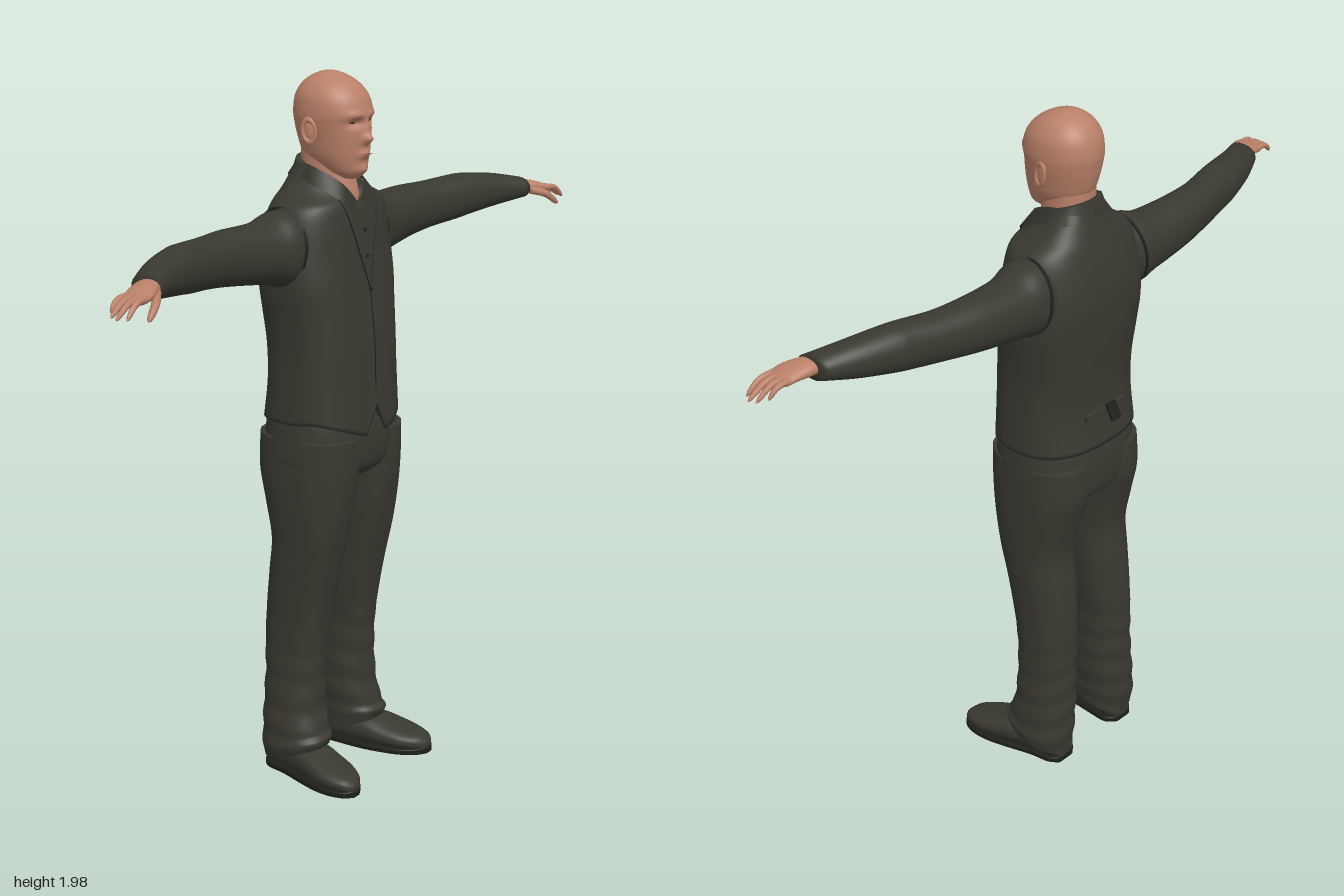
import * as THREE from 'three';

const V = (x, y, z) => new THREE.Vector3(x, y, z);
const { smoothstep, lerp } = THREE.MathUtils;
const spow = (v, e) => Math.sign(v) * Math.abs(v) ** e;
const gauss = (d, s) => Math.exp(-((d / s) ** 2));
const mat = (name, color, side = THREE.FrontSide) => {
  const m = new THREE.MeshStandardMaterial({ color, side });
  m.name = name;
  return m;
};

// Smooth interpolation between cross-section rows [t, a0, a1, b0, b1]
function section(rows, u) {
  const i = Math.min(Math.floor(u), rows.length - 2), f = u - i;
  const at = (k) => rows[Math.max(0, Math.min(rows.length - 1, k))];
  return rows[0].map((_, c) => {
    const [p0, p1, p2, p3] = [at(i - 1)[c], at(i)[c], at(i + 1)[c], at(i + 2)[c]];
    return p1 + 0.5 * f * (p2 - p0 + f * (2 * p0 - 5 * p1 + 4 * p2 - p3 + f * (3 * (p1 - p2) + p3 - p0)));
  });
}

// Closed loft of superellipse sections along an axis; warp moves the points afterwards
const PLACE = {
  y: (t, a, b) => V(a, t, b),
  x: (t, a, b) => V(t, b, a),
  z: (t, a, b) => V(a, b, t),
};
function loft(rows, { axis = 'y', n = 2.2, segs = 40, sub = 5, side = 1, warp = () => {} } = {}) {
  const pos = [], idx = [], rings = (rows.length - 1) * sub;
  const put = (t, a, b) => {
    const p = PLACE[axis](t, a, b);
    warp(p);
    pos.push(p.x * side, p.y, p.z);
  };
  for (let i = 0; i <= rings; i++) {
    const [t, a0, a1, b0, b1] = section(rows, i / sub);
    for (let j = 0; j < segs; j++) {
      const g = (j / segs) * Math.PI * 2;
      put(t, (a0 + a1) / 2 + (a1 - a0) / 2 * spow(Math.cos(g), 2 / n),
        (b0 + b1) / 2 + (b1 - b0) / 2 * spow(Math.sin(g), 2 / n));
    }
  }
  for (let i = 0; i < rings; i++) for (let j = 0; j < segs; j++) {
    const a = i * segs + j, b = i * segs + (j + 1) % segs;
    idx.push(a, a + segs, b, b, a + segs, b + segs);
  }
  [[rows[0], 0], [rows.at(-1), rings * segs]].forEach(([r, base], end) => {
    put(r[0], (r[1] + r[2]) / 2, (r[3] + r[4]) / 2);
    const c = pos.length / 3 - 1;
    for (let j = 0; j < segs; j++) {
      const a = base + j, b = base + (j + 1) % segs;
      idx.push(...(end ? [a, c, b] : [a, b, c]));
    }
  });
  // Turn the faces outward
  const P = (i) => V(pos[3 * i], pos[3 * i + 1], pos[3 * i + 2]);
  let vol = 0;
  for (let i = 0; i < idx.length; i += 3) vol += P(idx[i]).dot(P(idx[i + 1]).cross(P(idx[i + 2])));
  if (vol < 0) idx.reverse();
  return finish(pos, idx);
}
function finish(pos, idx) {
  const g = new THREE.BufferGeometry();
  g.setAttribute('position', new THREE.Float32BufferAttribute(pos, 3));
  g.setIndex(idx);
  g.computeVertexNormals();
  return g;
}
const sym = (rows) => rows.map(([t, r, b0, b1]) => [t, -r, r, b0, b1]);

// Front z of a vertical loft at x, y
function frontZ(rows, n, x, y) {
  let lo = 0, hi = rows.length - 1;
  for (let k = 0; k < 24; k++) {
    const m = (lo + hi) / 2;
    if (section(rows, m)[0] < y) lo = m; else hi = m;
  }
  const [, , r, b0, b1] = section(rows, lo);
  return (b0 + b1) / 2 + (b1 - b0) / 2 * Math.max(0, 1 - Math.abs(x / r) ** n) ** (1 / n);
}

// Tube that narrows to a rounded tip
function finger(points, r) {
  const N = 14, R = 10, curve = new THREE.CatmullRomCurve3(points);
  const g = new THREE.TubeGeometry(curve, N, r, R), p = g.attributes.position, v = V();
  for (let i = 0; i <= N; i++) for (let j = 0; j <= R; j++) {
    const k = i * (R + 1) + j, t = i / N;
    v.fromBufferAttribute(p, k).lerp(curve.getPointAt(t), 1 - (1 - 0.3 * t) * Math.sqrt(1 - t ** 8));
    p.setXYZ(k, v.x, v.y, v.z);
  }
  g.computeVertexNormals();
  return g;
}
const line = (pts, r, closed = false) =>
  new THREE.TubeGeometry(new THREE.CatmullRomCurve3(pts, closed), 48, r, 6, closed);

const VEST = sym([[1.045, .203, -.17, .137], [1.15, .198, -.157, .131], [1.25, .196, -.16, .128], [1.35, .205, -.17, .118],
  [1.42, .213, -.175, .11], [1.5, .209, -.175, .1], [1.58, .198, -.16, .09], [1.63, .178, -.145, .08],
  [1.665, .128, -.13, .066], [1.7, .095, -.115, .052], [1.73, .08, -.107, .042]]);
const HEAD = sym([[1.695, .02, .02, .07], [1.71, .045, -.02, .083], [1.73, .061, -.06, .089], [1.76, .075, -.095, .093],
  [1.8, .084, -.11, .096], [1.84, .092, -.118, .096], [1.87, .095, -.121, .099], [1.91, .09, -.115, .087],
  [1.94, .073, -.098, .062], [1.96, .05, -.073, .03], [1.972, .022, -.045, .0], [1.975, .004, -.026, -.018]]);
const PELVIS = sym([[.86, .1, -.1, .05], [.885, .17, -.15, .1], [.92, .2, -.164, .125], [.98, .201, -.167, .132],
  [1.04, .196, -.162, .129], [1.1, .185, -.145, .115]]);
const LEG = [[.035, .055, .208, -.138, .055], [.06, .052, .211, -.142, .06], [.12, .05, .208, -.145, .05],
  [.2, .045, .2, -.144, .033], [.3, .045, .19, -.143, .03], [.4, .045, .186, -.145, .036], [.5, .036, .188, -.14, .052],
  [.6, .028, .192, -.13, .072], [.7, .018, .198, -.12, .095], [.8, .007, .203, -.14, .113], [.9, -.002, .203, -.164, .125],
  [1, 0, .198, -.163, .128]];
const ARM = [[.13, -.13, .03, 1.43, 1.62], [.2, -.14, .038, 1.42, 1.622], [.25, -.137, .025, 1.435, 1.607],
  [.3, -.134, .016, 1.443, 1.603], [.4, -.125, .005, 1.457, 1.605], [.5, -.107, .01, 1.47, 1.604],
  [.6, -.085, .03, 1.48, 1.609], [.65, -.075, .04, 1.487, 1.609], [.75, -.04, .065, 1.502, 1.598], [.835, .003, .098, 1.517, 1.58]];
const PALM = [[.8, .025, .08, 1.53, 1.57], [.85, .027, .102, 1.53, 1.571], [.885, .035, .117, 1.529, 1.563],
  [.915, .043, .119, 1.526, 1.552], [.925, .05, .112, 1.532, 1.546]];
const SHOE = [[-.137, .1, .155, .012, .05], [-.11, .075, .175, .012, .09], [-.05, .075, .186, .012, .1], [.03, .08, .21, .012, .095],
  [.09, .092, .225, .012, .078], [.14, .108, .227, .012, .064], [.18, .135, .215, .012, .052], [.2, .165, .193, .012, .035]];

// Face relief: nose, brow, sockets, lips, chin
const face = (x, y) => {
  const ax = Math.abs(x);
  return .02 * gauss(x, .014) * gauss(y - 1.803, .013) + .013 * gauss(x, .011) * gauss(y - 1.828, .026)
    - .012 * gauss(ax - .034, .019) * gauss(y - 1.846, .011) + .005 * gauss(ax - .034, .025) * gauss(y - 1.868, .01)
    + .01 * gauss(x, .024) * gauss(y - 1.762, .012) + .009 * gauss(x, .026) * gauss(y - 1.72, .014);
};
const hem = (ax) => (ax < .045 ? lerp(1.08, 1.0, ax / .045) : lerp(1.0, 1.055, Math.min(1, (ax - .045) / .155)));
const vestWarp = (p) => {
  const low = 1 - smoothstep(p.y, 1.045, 1.13), high = smoothstep(p.y, 1.62, 1.73);
  p.y += low * smoothstep(p.z, 0, .08) * (hem(Math.abs(p.x)) - 1.045);
  p.y -= high * (.35 * (p.z + .05) + .06 * smoothstep(p.z, 0, .03) * Math.max(0, 1 - Math.abs(p.x) / .06));
};

export function createModel() {
  const root = new THREE.Group();
  root.name = 'standingMan';
  const suit = mat('suitCloth', 0x393930), cloth = mat('collarCloth', 0x34342c, THREE.DoubleSide);
  const seam = mat('darkSeam', 0x1e1e19), skin = mat('skin', 0xb98068);
  const eyeMat = mat('eyeShade', 0x4a2f26), lipMat = mat('lips', 0x8f5a4a);
  const add = (name, geo, m, parent = root) => {
    const mesh = new THREE.Mesh(geo, m);
    mesh.name = name;
    parent.add(mesh);
    return mesh;
  };

  // Head and neck
  add('head', loft(HEAD, { n: 2.1, segs: 96, sub: 9, warp: (p) => { p.z += smoothstep(p.z, 0, .05) * face(p.x, p.y); } }), skin);
  add('neck', loft(sym([[1.55, .07, -.09, .06], [1.64, .068, -.1, .06], [1.7, .067, -.1, .044], [1.75, .066, -.1, .04], [1.8, .066, -.098, .04]])), skin);
  const faceSpot = (name, x, y, w, h, m) => {
    const g = new THREE.SphereGeometry(1, 16, 8).scale(w, h, .003);
    add(name, g, m).position.set(x, y, frontZ(HEAD, 2.1, x, y) + face(x, y));
  };
  faceSpot('mouth', 0, 1.763, .021, .002, lipMat);

  // Waistcoat and trouser top
  add('waistcoat', loft(VEST, { n: 2.5, segs: 128, sub: 6, warp: vestWarp }), suit);
  add('trouserSeat', loft(PELVIS, { n: 2.5, segs: 56 }), suit);
  const onVest = (x, y) => V(x, y, frontZ(VEST, 2.5, x, y) + .001);
  const run = (x0, y0, x1, y1) => Array.from({ length: 9 }, (_, i) => onVest(lerp(x0, x1, i / 8), lerp(y0, y1, i / 8)));
  add('frontSeam', line(run(0, 1.4, 0, 1.13), .0015), seam);
  for (const y of [1.4, 1.49, 1.56]) {
    const b = add('button', new THREE.CylinderGeometry(.005, .005, .006, 12).rotateX(Math.PI / 2), seam);
    b.position.copy(onVest(0, y));
  }
  // Back cinch strap with loose end
  const strap = add('backStrap', new THREE.BoxGeometry(.15, .02, .012), suit);
  strap.position.set(0, 1.145, -.159);
  const tail = add('strapEnd', new THREE.BoxGeometry(.035, .05, .008), seam);
  tail.position.set(-.015, 1.143, -.178);
  tail.rotation.x = .5;

  for (const s of [1, -1]) {
    const label = s > 0 ? 'left' : 'right';
    const part = (name, geo, m) => add(label + name, geo, m);

    // Eyes and ears
    faceSpot(label + 'Eye', s * .034, 1.848, .014, .0032, eyeMat);
    const ear = new THREE.Group();
    ear.name = label + 'Ear';
    ear.position.set(s * .092, 1.825, -.02);
    ear.rotation.set(-.15, s * -.25, 0);
    root.add(ear);
    add('earLobe', new THREE.SphereGeometry(1, 16, 12).scale(.008, .032, .018), skin, ear);
    add('earRim', new THREE.TorusGeometry(.018, .005, 8, 24).rotateY(Math.PI / 2).scale(1, 1.65, 1), skin, ear).position.x = s * .006;

    // Shirt collar: a strip between two edge curves
    const edge = (pts) => new THREE.CatmullRomCurve3(pts.map(([x, y, z]) => V(s * x, y, z))).getPoints(20);
    const top = edge([[.004, 1.632, .076], [.045, 1.685, .054], [.076, 1.728, -.02], [.06, 1.738, -.085], [0, 1.742, -.11]]);
    const low = edge([[.04, 1.597, .093], [.078, 1.645, .072], [.1, 1.685, -.02], [.078, 1.7, -.105], [0, 1.705, -.123]]);
    const pos = [], idx = [];
    top.forEach((p, i) => {
      pos.push(...p.toArray(), ...low[i].toArray());
      const a = 2 * i;
      if (i) idx.push(...(s > 0 ? [a - 2, a - 1, a, a, a - 1, a + 1] : [a - 2, a, a - 1, a, a + 1, a - 1]));
    });
    part('Collar', finish(pos, idx), cloth);
    part('NecklineSeam', line(run(s * .078, 1.65, 0, 1.4), .002), seam);

    // Sleeve and armhole
    part('Sleeve', loft(ARM, { axis: 'x', side: s }), suit);
    const hole = Array.from({ length: 20 }, (_, i) => {
      const g = (i / 20) * Math.PI * 2;
      return V(s * (.187 - .012 * Math.sin(g)), 1.524 + .104 * Math.sin(g), -.05 + .091 * Math.cos(g));
    });
    part('Armhole', line(hole, .004, true), seam);

    // Hand
    part('Palm', loft(PALM, { axis: 'x', side: s, segs: 24 }), skin);
    const tips = [[.05, .97, 1.513, .056], [.07, .993, 1.507, .076], [.09, 1, 1.505, .098], [.109, .985, 1.505, .12]];
    for (const [z, x, y, tz] of tips)
      part('Finger', finger([V(s * .895, 1.543, z), V(s * .945, 1.538, (z + tz) / 2), V(s * x, y, tz)], .0095), skin);
    part('Thumb', finger([V(s * .845, 1.543, .09), V(s * .885, 1.528, .122), V(s * .93, 1.494, .138)], .0125), skin);

    // Trouser leg with soft folds near the ankle and a hem raised at the front
    part('TrouserLeg', loft(LEG, { n: 2.3, segs: 48, sub: 8, side: s, warp: (p) => {
      const fold = 1 + .022 * (1 - smoothstep(p.y, .3, .5)) * Math.sin(p.y * 75 + p.x * 14 + p.z * 9);
      p.x = .125 + (p.x - .125) * fold;
      p.z = -.05 + (p.z + .05) * fold;
      p.y += (1 - smoothstep(p.y, .035, .16)) * (p.z + .14) * .3;
    } }), suit);

    // Shoe
    part('Shoe', loft(SHOE, { axis: 'z', side: s, n: 2.4 }), suit);
    part('ShoeSole', loft(SHOE.map(([z, a, b]) => [z, a - .002, b + .002, 0, .02]), { axis: 'z', side: s, n: 6 }), seam);
  }
  return root;
}
